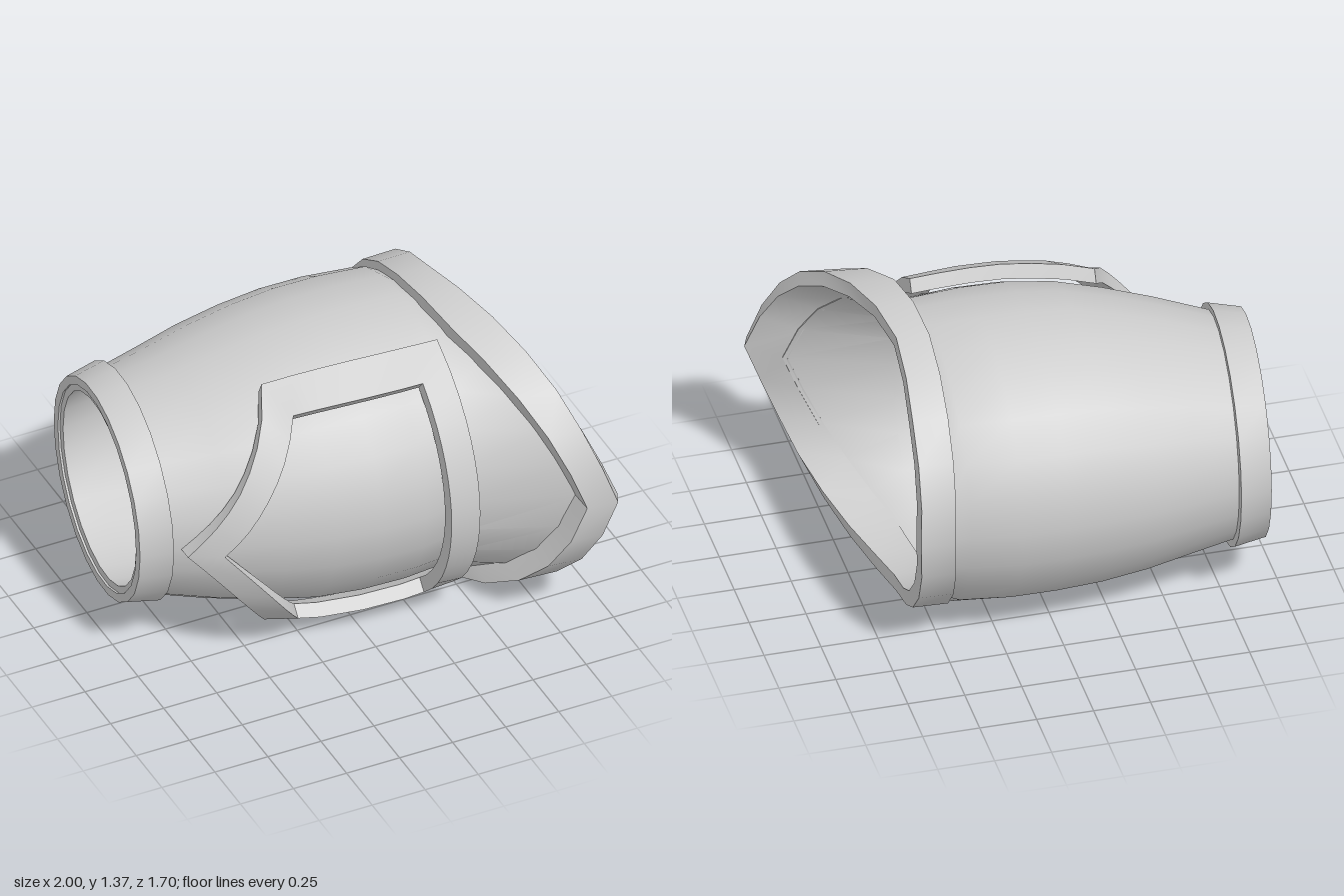
import * as THREE from 'three';
import { toCreasedNormals } from 'three/addons/utils/BufferGeometryUtils.js';

const SIDES = 24;

// Piecewise linear lookup: rows are [key, values...]
function lookup(table, key) {
  let i = 0;
  while (i < table.length - 2 && key > table[i + 1][0]) i++;
  const a = table[i], b = table[i + 1];
  const t = THREE.MathUtils.clamp((key - a[0]) / (b[0] - a[0]), 0, 1);
  return a.slice(1).map((v, k) => v + (b[k + 1] - v) * t);
}

// Skin over a grid of points that closes in both directions
function closedGrid(rows) {
  const n = rows.length, m = rows[0].length, index = [];
  for (let i = 0; i < n; i++) {
    for (let j = 0; j < m; j++) {
      const i2 = (i + 1) % n, j2 = (j + 1) % m;
      const a = i * m + j, b = i2 * m + j, c = i2 * m + j2, d = i * m + j2;
      index.push(a, b, c, a, c, d);
    }
  }
  const g = new THREE.BufferGeometry();
  g.setAttribute('position', new THREE.Float32BufferAttribute(rows.flat(2), 3));
  g.setIndex(index);
  return toCreasedNormals(g, 0.6);
}

// Elliptical loop around the x axis; angle 0 faces the front, xAt gives x per angle
function loop(xAt, yc, ry, zc, rz) {
  return Array.from({ length: SIDES }, (_, j) => {
    const a = (j / SIDES) * Math.PI * 2;
    return [xAt(a), yc + ry * Math.sin(a), zc + rz * Math.cos(a)];
  });
}
const tilted = (x, tilt) => (a) => x - tilt * Math.cos(a);

// Sleeve cross-sections: x, centre y, radius y, centre z, radius z, tilt
const SLEEVE = [
  [-0.81, 0.65, 0.485, -0.235, 0.515, 0.045],
  [-0.6, 0.655, 0.54, -0.195, 0.59, 0.02],
  [-0.4, 0.66, 0.59, -0.17, 0.65, 0],
  [-0.2, 0.665, 0.63, -0.15, 0.69, 0],
  [0, 0.67, 0.645, -0.14, 0.715, 0],
  [0.2, 0.67, 0.648, -0.135, 0.715, 0],
  [0.42, 0.67, 0.64, -0.13, 0.685, 0],
];

// Rim edges: degrees from the front, x of the inner edge, x of the open edge
const RIM = [
  [0, 0.84, 0.975], [24, 0.74, 0.88], [48, 0.62, 0.795], [72, 0.5, 0.695],
  [90, 0.465, 0.63], [108, 0.45, 0.59], [130, 0.465, 0.62], [180, 0.5, 0.65],
];
function rimEdge(k, shift = 0, frontShift = 0) {
  return (a) => {
    const deg = THREE.MathUtils.radToDeg(Math.acos(THREE.MathUtils.clamp(Math.cos(a), -1, 1)));
    return lookup(RIM, deg)[k] + shift + frontShift * Math.max(0, Math.cos(a));
  };
}

// Hollow barrel sleeve, outside loops then inside loops
function sleeveGeometry() {
  const wall = 0.045;
  const outer = [
    loop(tilted(-0.945, 0.045), 0.645, 0.45, -0.24, 0.485),
    ...SLEEVE.map(([x, yc, ry, zc, rz, t]) => loop(tilted(x, t), yc, ry, zc, rz)),
    loop(rimEdge(0, 0.02), 0.67, 0.63, -0.04, 0.755),
  ];
  const inner = [
    loop(tilted(-0.945, 0.045), 0.648, 0.412, -0.24, 0.45),
    ...SLEEVE.map(([x, yc, ry, zc, rz, t]) => loop(tilted(x, t), yc, ry - wall, zc, rz - wall)),
    loop(rimEdge(0, 0.02), 0.67, 0.59, -0.035, 0.715),
  ];
  return closedGrid([...outer, ...inner.reverse()]);
}

// Raised band around the narrow end
function bandGeometry() {
  return closedGrid([
    loop(tilted(-0.955, 0.045), 0.645, 0.485, -0.245, 0.515),
    loop(tilted(-0.815, 0.045), 0.65, 0.512, -0.238, 0.55),
    loop(tilted(-0.815, 0.045), 0.65, 0.46, -0.238, 0.49),
    loop(tilted(-0.955, 0.045), 0.645, 0.445, -0.245, 0.475),
  ]);
}

// Flared rim with a pointed front
function rimGeometry() {
  return closedGrid([
    loop(rimEdge(0), 0.68, 0.68, -0.01, 0.835),
    loop(rimEdge(1), 0.685, 0.68, 0, 0.847),
    loop(rimEdge(1, 0, 0.025), 0.683, 0.615, 0.012, 0.775),
    loop(rimEdge(0), 0.67, 0.58, -0.035, 0.705),
  ]);
}

// Point floating above the sleeve; s is the sine of the angle from the front
function overSleeve(x, s, offset) {
  const [yc, ry, zc, rz] = lookup(SLEEVE, x);
  return [x, yc + (ry + offset) * s, zc + (rz + offset) * Math.sqrt(1 - s * s)];
}

// Five-sided open frame bent around the front of the sleeve
function frameGeometry() {
  const outer = [[-0.82, 0], [-0.37, 0.905], [0.42, 0.885], [0.43, -0.885], [-0.36, -0.905]];
  const inner = [[-0.68, 0], [-0.3, 0.775], [0.28, 0.76], [0.285, -0.76], [-0.28, -0.775]];
  const steps = [8, 6, 16, 6, 8];
  const rows = [];
  steps.forEach((count, i) => {
    const k = (i + 1) % 5;
    for (let q = 0; q < count; q++) {
      const mix = (p) => p[i].map((v, c) => v + (p[k][c] - v) * (q / count));
      const o = mix(outer), n = mix(inner);
      rows.push([
        overSleeve(...n, 0.085), overSleeve(...o, 0.085),
        overSleeve(...o, 0.02), overSleeve(...n, 0.02),
      ]);
    }
  });
  return closedGrid(rows);
}

export function createModel() {
  const grey = new THREE.MeshStandardMaterial({ color: 0xcccccc });
  grey.name = 'plainGrey';
  const model = new THREE.Group();
  model.name = 'forearmGuard';
  const parts = {
    sleeve: sleeveGeometry(),
    wristBand: bandGeometry(),
    elbowRim: rimGeometry(),
    frontFrame: frameGeometry(),
  };
  for (const [name, geometry] of Object.entries(parts)) {
    const mesh = new THREE.Mesh(geometry, grey);
    mesh.name = name;
    model.add(mesh);
  }
  return model;
}
